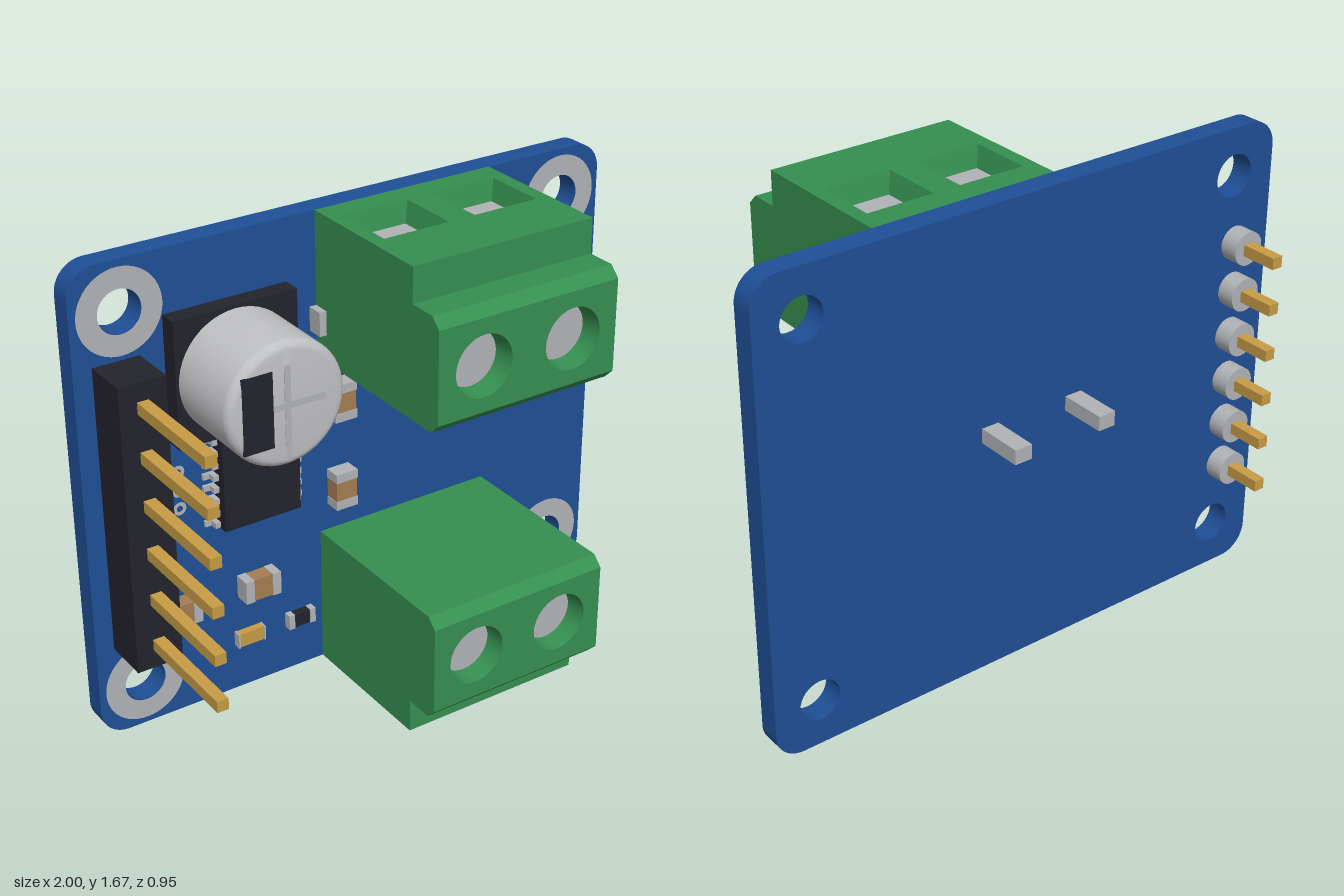
import * as THREE from 'three';
import { toCreasedNormals } from 'three/addons/utils/BufferGeometryUtils.js';

const paint = (name, color, side = THREE.FrontSide) => {
  const m = new THREE.MeshStandardMaterial({ color, side });
  m.name = name;
  return m;
};

export function createModel() {
  const blue = paint('board blue', 0x1f4f96);
  const green = paint('terminal green', 0x358f50, THREE.DoubleSide);
  const black = paint('plastic black', 0x22232c);
  const gold = paint('pin gold', 0xc79c45);
  const silver = paint('solder silver', 0xb0b3b6);
  const can = paint('can aluminium', 0xc0c1c3);
  const brown = paint('ceramic brown', 0xa57d52);

  const FACE = -0.195, BACK = -0.275, MID = 0.835;
  const root = new THREE.Group();
  root.name = 'motorDriverBoard';

  const add = (parent, name, geo, mat, x = 0, y = 0, z = 0) => {
    const m = new THREE.Mesh(geo, mat);
    m.name = name;
    m.position.set(x, y, z);
    parent.add(m);
    return m;
  };
  const group = (name, parent = root) => {
    const g = new THREE.Group();
    g.name = name;
    parent.add(g);
    return g;
  };
  // box given by its limits on each axis
  const block = (parent, name, mat, x0, x1, y0, y1, z0, z1) =>
    add(parent, name, new THREE.BoxGeometry(x1 - x0, y1 - y0, z1 - z0), mat,
      (x0 + x1) / 2, (y0 + y1) / 2, (z0 + z1) / 2);
  const circlePath = (x, y, r) => new THREE.Path().absarc(x, y, r, 0, Math.PI * 2, true);

  // circuit board with rounded corners and mounting holes
  const R = 0.1, H = 1.67;
  const outline = new THREE.Shape();
  outline.absarc(1 - R, H - R, R, 0, Math.PI / 2);
  outline.absarc(-1 + R, H - R, R, Math.PI / 2, Math.PI);
  outline.absarc(-1 + R, R, R, Math.PI, Math.PI * 1.5);
  outline.absarc(1 - R, R, R, Math.PI * 1.5, Math.PI * 2);
  outline.closePath();
  for (const x of [-0.833, 0.833]) {
    for (const y of [0.167, 1.503]) {
      outline.holes.push(circlePath(x, y, 0.074));
      add(root, 'mountingPad', new THREE.RingGeometry(0.074, 0.145, 48), silver, x, y, FACE + 0.004);
    }
  }
  const boardGeo = new THREE.ExtrudeGeometry(outline, { depth: FACE - BACK, bevelEnabled: false, curveSegments: 16 });
  add(root, 'board', toCreasedNormals(boardGeo, 0.6), blue, 0, 0, BACK);

  // small plated vias
  for (const x of [-0.735, -0.67])
    for (const y of [0.77, 0.836, 0.903])
      add(root, 'via', new THREE.RingGeometry(0.011, 0.024, 16), silver, x, y, FACE + 0.004);

  // pin header
  const header = group('pinHeader');
  block(header, 'headerBody', black, -0.935, -0.773, 0.33, 1.342, FACE, -0.03);
  for (let i = 0; i < 6; i++) {
    const y = 0.415 + i * 0.169;
    block(header, 'pin', gold, -0.875, -0.835, y - 0.02, y + 0.02, -0.475, 0.375);
    const collar = new THREE.CylinderGeometry(0.059, 0.059, 0.066, 32).rotateX(Math.PI / 2);
    add(header, 'solderCollar', collar, silver, -0.855, y, BACK - 0.033);
  }

  // electrolytic capacitor
  const capacitor = group('canCapacitor');
  capacitor.position.set(-0.47, 1.235, 0);
  block(capacitor, 'capacitorBase', black, -0.22, 0.22, -0.22, 0.22, FACE, -0.13);
  const r = 0.21, top = 0.163, f = 0.03;
  const profile = [new THREE.Vector2(r, -0.13)];
  for (let i = 0; i <= 6; i++) {
    const a = i / 6 * Math.PI / 2;
    profile.push(new THREE.Vector2(r - f + f * Math.cos(a), top - f + f * Math.sin(a)));
  }
  profile.push(new THREE.Vector2(0, top));
  add(capacitor, 'capacitorCan', toCreasedNormals(new THREE.LatheGeometry(profile, 48).rotateX(Math.PI / 2), 0.5), can);
  block(capacitor, 'ventLineAcross', silver, -0.05, 0.135, -0.011, 0.011, top - 0.002, top + 0.002);
  block(capacitor, 'ventLineUp', silver, -0.011, 0.011, -0.135, 0.135, top - 0.002, top + 0.002);
  block(capacitor, 'polarityMark', black, -0.158, -0.052, -0.128, 0.128, top - 0.005, top + 0.003);

  // driver chip with gull-wing legs
  const chip = group('driverChip');
  block(chip, 'chipBody', black, -0.543, -0.258, 0.672, 1.003, FACE + 0.005, -0.125);
  for (let i = 0; i < 8; i++) {
    const y = 0.686 + i * 0.0433;
    for (const s of [-1, 1]) {
      const cx = -0.4005;
      const span = (a, b) => (s > 0 ? [cx + a, cx + b] : [cx - b, cx - a]);
      block(chip, 'chipFoot', silver, ...span(0.155, 0.184), y - 0.01, y + 0.01, FACE, FACE + 0.012);
      block(chip, 'chipLeg', silver, ...span(0.14, 0.162), y - 0.01, y + 0.01, FACE, FACE + 0.04);
    }
  }

  // two-ended surface parts
  const smd = (name, mat, x, y, length, width, height, end, upright) => {
    const g = group(name);
    g.position.set(x, y, FACE);
    if (upright) g.rotation.z = Math.PI / 2;
    const l = length / 2, w = width / 2;
    block(g, 'smdBody', mat, -l + end, l - end, -w + 0.002, w - 0.002, 0, height - 0.003);
    for (const s of [-1, 1])
      add(g, 'smdEnd', new THREE.BoxGeometry(end, width, height), silver, s * (l - end / 2), 0, height / 2);
  };
  smd('ceramicCapacitor', brown, -0.703, 0.403, 0.135, 0.084, 0.06, 0.032);
  smd('ceramicCapacitor', brown, -0.403, 0.403, 0.135, 0.084, 0.06, 0.032);
  smd('ceramicCapacitor', brown, -0.098, 0.403 + 0.902, 0.135, 0.084, 0.06, 0.032);
  smd('ceramicCapacitor', brown, -0.068, 1.002, 0.135, 0.084, 0.06, 0.032, true);
  smd('ceramicCapacitor', brown, -0.068, 0.671, 0.135, 0.084, 0.06, 0.032, true);
  smd('resistor', black, -0.237, 0.202, 0.105, 0.055, 0.03, 0.022);
  smd('indicatorLight', gold, -0.437, 0.202, 0.105, 0.055, 0.03, 0.006);

  // screw terminals: walls laid along a side profile of [z, y]
  const W = 0.675;
  const side = [[FACE, 0], [0.44, 0], [0.475, 0.035], [0.475, 0.35],
    [0.44, 0.385], [0.34, 0.385], [0.34, 0.505], [FACE, 0.505]];
  const terminal = (turned) => {
    const pivot = group('screwTerminal');
    pivot.position.set(0.1975, MID, 0);
    if (turned) pivot.rotation.z = Math.PI;
    const g = group('terminalBody', pivot);
    g.position.y = 0.33;
    const X = new THREE.Vector3(1, 0, 0);
    side.forEach(([z0, y0], i) => {
      const [z1, y1] = side[(i + 1) % side.length];
      const along = new THREE.Vector3(0, y1 - y0, z1 - z0);
      const len = along.length();
      along.normalize();
      const wall = new THREE.Shape([[-W / 2, 0], [W / 2, 0], [W / 2, len], [-W / 2, len]]
        .map(p => new THREE.Vector2(...p)));
      for (const x of [-0.169, 0.169]) {
        if (i === 2) wall.holes.push(circlePath(x, 0.155, 0.105));
        if (i === 6) wall.holes.push(new THREE.Path([[-1, -1], [-1, 1], [1, 1], [1, -1]]
          .map(([a, b]) => new THREE.Vector2(x + a * 0.12, 0.332 + b * 0.112))));
      }
      const basis = new THREE.Matrix4().makeBasis(X, along, X.clone().cross(along)).setPosition(0, y0, z0);
      add(g, 'terminalWall', new THREE.ShapeGeometry(wall, 20).applyMatrix4(basis), green);
    });
    for (const s of [-1, 1]) {
      const cheek = new THREE.Shape(side.map(([z, y]) => new THREE.Vector2(-s * z, y)));
      add(g, 'terminalSide', new THREE.ShapeGeometry(cheek).rotateY(s * Math.PI / 2), green, s * W / 2);
      // screw well
      const x = s * 0.169, depth = 0.07;
      const well = new THREE.CylinderGeometry(0.105, 0.095, depth, 40, 1, true).rotateX(Math.PI / 2);
      add(g, 'screwWell', well, green, x, 0.19, 0.475 - depth / 2);
      add(g, 'screwHead', new THREE.CircleGeometry(0.095, 40), silver, x, 0.19, 0.475 - depth);
      // tapered wire entry
      const funnel = new THREE.CylinderGeometry(0.12 * Math.SQRT2, 0.1 * Math.SQRT2, depth, 4, 1, true)
        .rotateY(Math.PI / 4).scale(1, 1, 0.93).toNonIndexed();
      funnel.computeVertexNormals();
      add(g, 'wireEntry', funnel, green, x, 0.505 - depth / 2, 0.008);
      add(g, 'wireClamp', new THREE.PlaneGeometry(0.2, 0.186).rotateX(-Math.PI / 2), silver, x, 0.505 - depth, 0.008);
    }
  };
  terminal(false);
  terminal(true);

  // solder tabs on the back
  for (const x of [-0.172, 0.164])
    block(root, 'backTab', silver, x - 0.032, x + 0.032, 0.87, 0.922, -0.442, BACK);

  return root;
}
